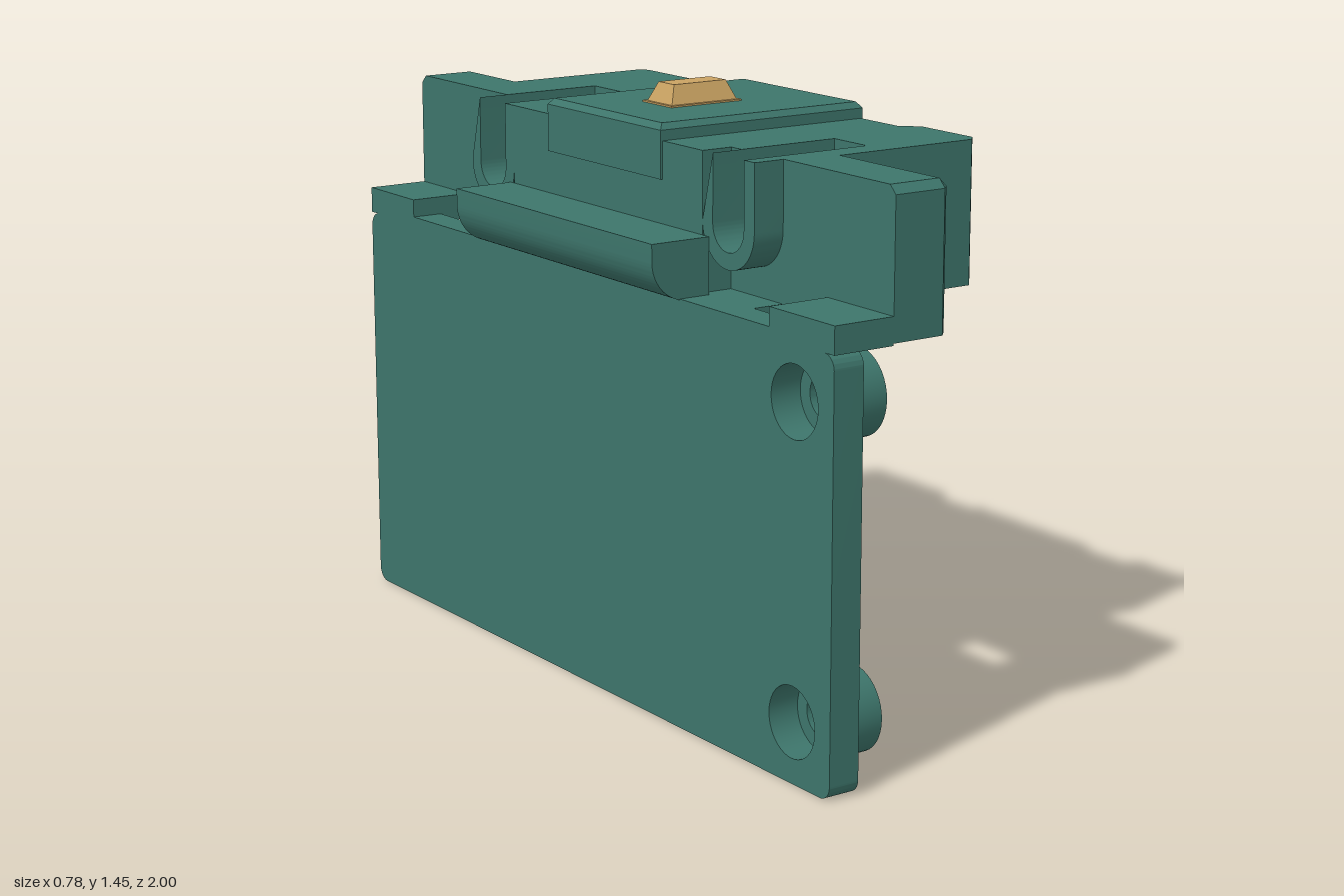
import * as THREE from 'three';
import { toCreasedNormals } from 'three/addons/utils/BufferGeometryUtils.js';

const green = new THREE.MeshStandardMaterial({ color: 0x3d756b });
green.name = 'green plastic';
const tan = new THREE.MeshStandardMaterial({ color: 0xc9a262 });
tan.name = 'tan button';

export function createModel() {
  const model = new THREE.Group();

  const add = (name, geo, mat = green) => {
    const mesh = new THREE.Mesh(toCreasedNormals(geo, 0.5), mat);
    mesh.name = name;
    model.add(mesh);
    return mesh;
  };
  const poly = (pts) => new THREE.Shape(pts.map(([a, b]) => new THREE.Vector2(a, b)));
  const extrude = (shape, depth) =>
    new THREE.ExtrudeGeometry(shape, { depth, bevelEnabled: false, curveSegments: 20 });
  // (z, y) outline swept from x0 to x1
  const alongX = (shape, x0, x1) => extrude(shape, x1 - x0).rotateY(-Math.PI / 2).translate(x1, 0, 0);
  // (x, z) plan swept from y0 to y1
  const alongY = (shape, y0, y1) => extrude(shape, y1 - y0).rotateX(Math.PI / 2).translate(0, y1, 0);
  const box = (x0, x1, y0, y1, z0, z1) =>
    new THREE.BoxGeometry(x1 - x0, y1 - y0, z1 - z0)
      .translate((x0 + x1) / 2, (y0 + y1) / 2, (z0 + z1) / 2);
  const roundRect = (x0, x1, y0, y1, r) => {
    const s = new THREE.Shape();
    s.absarc(x1 - r, y0 + r, r, -Math.PI / 2, 0, false);
    s.absarc(x1 - r, y1 - r, r, 0, Math.PI / 2, false);
    s.absarc(x0 + r, y1 - r, r, Math.PI / 2, Math.PI, false);
    s.absarc(x0 + r, y0 + r, r, Math.PI, Math.PI * 1.5, false);
    s.closePath();
    return s;
  };
  const circleHole = (u, v, r) => new THREE.Path().absarc(u, v, r, 0, Math.PI * 2, true);
  // box whose upper face is inset
  const frustum = (x0, x1, y0, y1, z0, z1, inX, inZ) => {
    const g = box(x0, x1, y0, y1, z0, z1).toNonIndexed();
    const p = g.attributes.position;
    for (let i = 0; i < p.count; i++) {
      if (p.getY(i) < (y0 + y1) / 2) continue;
      p.setX(i, THREE.MathUtils.clamp(p.getX(i), x0 + inX, x1 - inX));
      p.setZ(i, THREE.MathUtils.clamp(p.getZ(i), z0 + inZ, z1 - inZ));
    }
    g.computeVertexNormals();
    return g;
  };

  // Upright mounting plate with counterbored screw holes
  const screwZ = 0.86, screwYs = [0.145, 0.88];
  const plate = roundRect(-1, 1, 0, 1.01, 0.035);
  for (const y of screwYs) plate.holes.push(circleHole(screwZ, y, 0.085));
  add('mountingPlate', alongX(plate, -0.315, -0.235));
  for (const y of screwYs) {
    const ring = new THREE.Shape().absarc(screwZ, y, 0.102, 0, Math.PI * 2, false);
    ring.holes.push(circleHole(screwZ, y, 0.05));
    add('screwBoss', alongX(ring, -0.235, -0.14));
  }
  // Raised pads on the plate
  for (const y of [0.15, 0.635])
    add('platePad', alongX(roundRect(-0.56, -0.45, y, y + 0.245, 0.025), -0.235, -0.215));

  // Ledge joining plate and housing
  add('ledge', box(-0.315, -0.235, 1.01, 1.03, -0.78, 0.77));
  add('ledgeUnderHousing', box(-0.235, -0.155, 1.012, 1.03, -0.605, 0.6));
  add('ledgeEnd', box(-0.315, -0.155, 1.01, 1.075, -1, -0.78));
  add('ledgeEnd', box(-0.315, -0.155, 1.01, 1.075, 0.765, 1));

  // Rounded rail behind the housing
  const rail = new THREE.Shape();
  rail.moveTo(-0.235, 1.165);
  rail.lineTo(-0.392, 1.165);
  rail.absarc(-0.292, 1.125, 0.1, Math.PI, Math.PI * 1.5, false);
  rail.lineTo(-0.235, 1.025);
  rail.closePath();
  add('rearRail', extrude(rail, 0.855).translate(0, 0, -0.43));

  // Housing: slotted middle section
  const top = 1.36, base = 1.015, slots = [-0.513, 0.5];
  const slotted = new THREE.Shape();
  slotted.moveTo(-0.755, base);
  slotted.lineTo(0.63, base);
  slotted.lineTo(0.63, top);
  for (const c of [...slots].reverse()) {
    slotted.lineTo(c + 0.06, top);
    slotted.absarc(c, 1.2, 0.06, 0, -Math.PI, true);
    slotted.lineTo(c - 0.06, top);
  }
  slotted.lineTo(-0.755, top);
  slotted.closePath();
  add('housingMiddle', alongX(slotted, -0.155, 0.11));

  // Housing: outer section with chamfered corners and a narrower waist
  add('housingOuter', alongY(poly([
    [0.11, -0.755], [0.37, -0.755], [0.387, -0.735], [0.387, -0.425], [0.345, -0.385],
    [0.345, 0.38], [0.387, 0.42], [0.387, 0.605], [0.365, 0.63], [0.11, 0.63],
  ]), base, top));

  // Housing: rear block and the U-shaped troughs on either side of it
  add('housingRear', box(-0.235, -0.155, 1.03, top, -0.413, 0.4));
  for (const c of slots) {
    const u = new THREE.Shape();
    u.moveTo(c - 0.1, top);
    u.absarc(c, 1.2, 0.1, Math.PI, Math.PI * 2, false);
    u.lineTo(c + 0.1, top);
    u.lineTo(c + 0.06, top);
    u.absarc(c, 1.2, 0.06, 0, -Math.PI, true);
    u.lineTo(c - 0.06, top);
    u.closePath();
    add('trough', alongX(u, -0.235, -0.155));
  }

  // End arms with chamfered corner and top edges
  for (const [s, inner] of [[-1, 0.755], [1, 0.63]]) {
    const plan = poly([
      [-0.155, s * inner], [0, s * inner], [0, s * 0.98], [-0.02, s], [-0.155, s],
    ]);
    add('endArm', alongY(plan, base, 1.34));
    const cap = alongY(plan, 1.34, top);
    const p = cap.attributes.position;
    for (let i = 0; i < p.count; i++) {
      if (p.getY(i) < 1.35) continue;
      p.setX(i, Math.min(p.getX(i), -0.02));
      p.setZ(i, THREE.MathUtils.clamp(p.getZ(i), -0.98, 0.98));
    }
    cap.computeVertexNormals();
    add('endArmTop', cap);
  }

  // Cap on top of the housing
  add('capSide', box(-0.241, 0.349, 1.27, 1.385, -0.245, 0.24));
  add('capTop', frustum(-0.241, 0.349, 1.385, 1.4, -0.245, 0.24, 0.012, 0.012));

  // Tapered button on a thin base
  add('buttonBase', box(-0.085, 0.12, 1.398, 1.404, -0.065, 0.058), tan);
  add('button', frustum(-0.078, 0.113, 1.402, 1.45, -0.055, 0.05, 0.02, 0.02), tan);

  return model;
}
